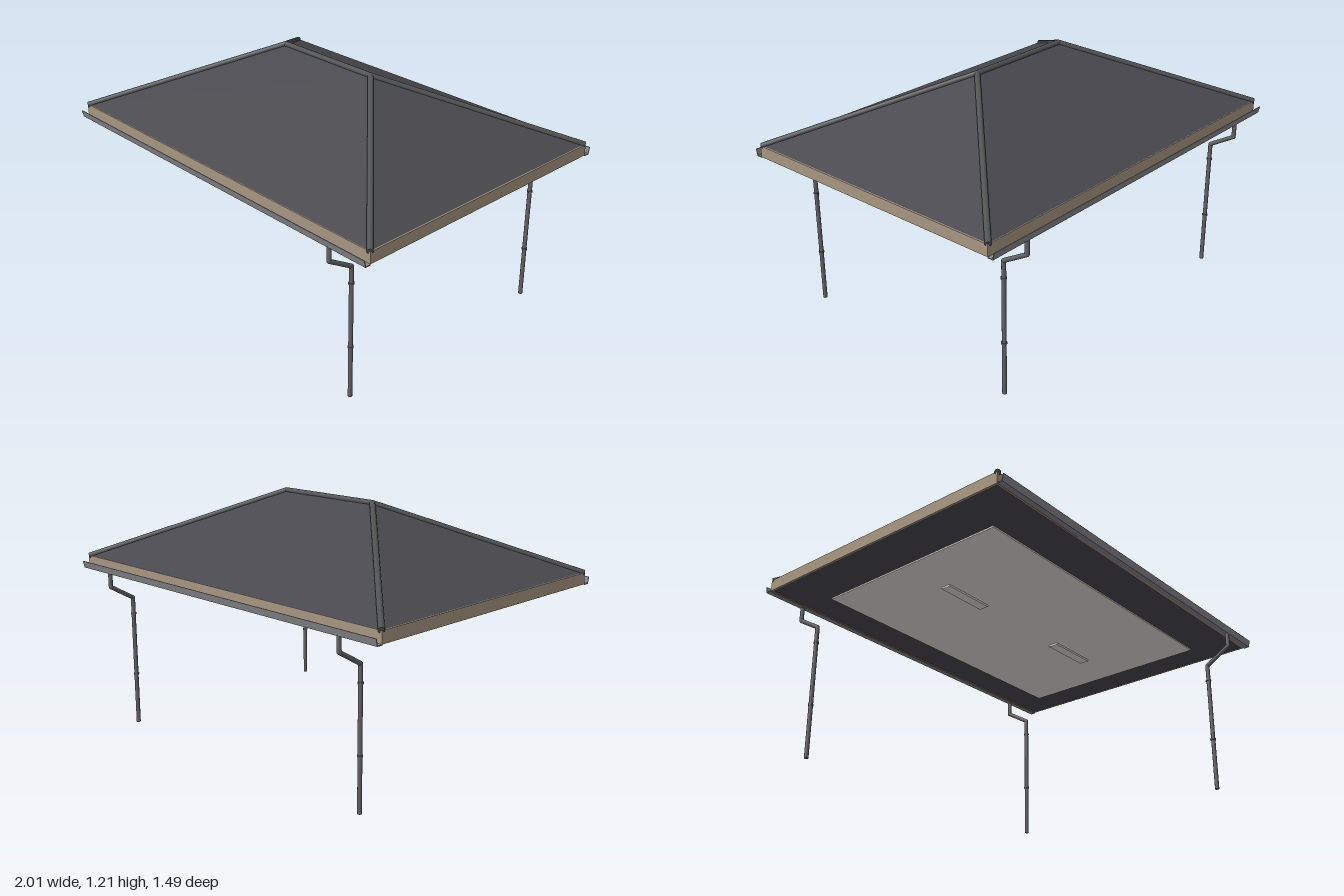
import * as THREE from 'three';

const mat = (name, color, extra = {}) => {
  const m = new THREE.MeshStandardMaterial({ color, ...extra });
  m.name = name;
  return m;
};

export function createModel() {
  const root = new THREE.Group();
  root.name = 'hipRoofCanopy';

  const slate = mat('roofSlate', 0x49484e);
  const capGrey = mat('ridgeCapGrey', 0x505254);
  const beige = mat('fasciaBeige', 0xa69580);
  const gutterGrey = mat('gutterGrey', 0x87858a);
  const pipeGrey = mat('pipeGrey', 0x626368);
  const panelWhite = mat('ceilingWhite', 0xe2e0da);

  const V = (x, y, z) => new THREE.Vector3(x, y, z);
  const add = (name, geo, material, parent = root) => {
    const mesh = new THREE.Mesh(geo, material);
    mesh.name = name;
    parent.add(mesh);
    return mesh;
  };
  const box = (name, w, h, d, x, y, z, material, parent) =>
    add(name, new THREE.BoxGeometry(w, h, d).translate(x, y, z), material, parent);
  // Round bar between two points
  const bar = (name, a, b, r, material, parent) => {
    const dir = b.clone().sub(a);
    const mesh = add(name, new THREE.CylinderGeometry(r, r, dir.length(), 12), material, parent);
    mesh.position.copy(a).add(b).multiplyScalar(0.5);
    mesh.quaternion.setFromUnitVectors(V(0, 1, 0), dir.normalize());
    return mesh;
  };

  // Hip roof: two trapezoids and two triangles
  const eaveX = 0.993, eaveZ = 0.708, eaveY = 0.864, ridgeX = 0.29, ridgeY = 1.195;
  const fl = V(-eaveX, eaveY, eaveZ), fr = V(eaveX, eaveY, eaveZ);
  const bl = V(-eaveX, eaveY, -eaveZ), br = V(eaveX, eaveY, -eaveZ);
  const rl = V(-ridgeX, ridgeY, 0), rr = V(ridgeX, ridgeY, 0);
  const roof = new THREE.BufferGeometry().setFromPoints([
    fl, fr, rr, fl, rr, rl,
    br, bl, rl, br, rl, rr,
    fr, br, rr,
    bl, fl, rl,
  ]);
  roof.computeVertexNormals();
  add('roof', roof, slate);

  // Ridge and hip caps
  const capR = 0.014;
  bar('ridgeCap', rl, rr, capR, capGrey);
  for (const [corner, end] of [[fl, rl], [bl, rl], [fr, rr], [br, rr]]) {
    bar('hipCap', corner, end, capR, capGrey);
    add('capJoint', new THREE.SphereGeometry(capR, 12, 8), capGrey).position.copy(end);
  }

  // Fascia boards around the eaves, with the dark soffit between them
  for (const s of [-1, 1]) {
    box('endFascia', 0.008, 0.056, 1.42, s * 0.994, 0.837, 0, beige);
    box('longFascia', 1.98, 0.056, 0.008, 0, 0.837, s * 0.706, beige);
  }
  box('soffit', 1.98, 0.004, 1.404, 0, 0.813, 0, slate);

  // Open gutters along the two long eaves
  const profile = new THREE.Shape([
    [0.71, 0.806], [0.738, 0.806], [0.746, 0.84], [0.742, 0.84], [0.735, 0.81], [0.71, 0.81],
  ].map(([z, y]) => new THREE.Vector2(z, y)));
  const gutterGeo = new THREE.ExtrudeGeometry(profile, { depth: 2, bevelEnabled: false })
    .translate(0, 0, -1).rotateY(-Math.PI / 2);
  add('frontGutter', gutterGeo, gutterGrey);
  add('backGutter', gutterGeo, gutterGrey).rotation.y = Math.PI;

  // Three downpipes with an offset bend and two wall clips each
  const pipeR = 0.0105;
  for (const [sx, sz] of [[1, 1], [1, -1], [-1, -1]]) {
    const pipe = new THREE.Group();
    pipe.name = 'downpipe';
    root.add(pipe);
    const x = sx * 0.787;
    const path = [[0.81, 0.729], [0.738, 0.729], [0.663, 0.602], [0, 0.602]]
      .map(([y, z]) => V(x, y, sz * z));
    for (let i = 0; i < 3; i++) bar('pipeSection', path[i], path[i + 1], pipeR, pipeGrey, pipe);
    for (const p of path.slice(1, 3)) {
      add('pipeElbow', new THREE.SphereGeometry(pipeR, 12, 8), pipeGrey, pipe).position.copy(p);
    }
    for (const y of [0.26, 0.58]) {
      bar('clipRing', V(x, y - 0.004, sz * 0.602), V(x, y + 0.004, sz * 0.602), 0.0135, pipeGrey, pipe);
      box('clipStub', 0.006, 0.006, 0.012, x, y, sz * 0.592, pipeGrey, pipe);
    }
  }

  // Hanging ceiling panel with two long lamps
  box('ceilingPanel', 1.58, 0.008, 1.02, 0, 0.785, 0, panelWhite);
  for (const s of [-1, 1]) {
    box('lamp', 0.27, 0.009, 0.05, s * 0.405, 0.7765, 0, panelWhite);
  }

  return root;
}
